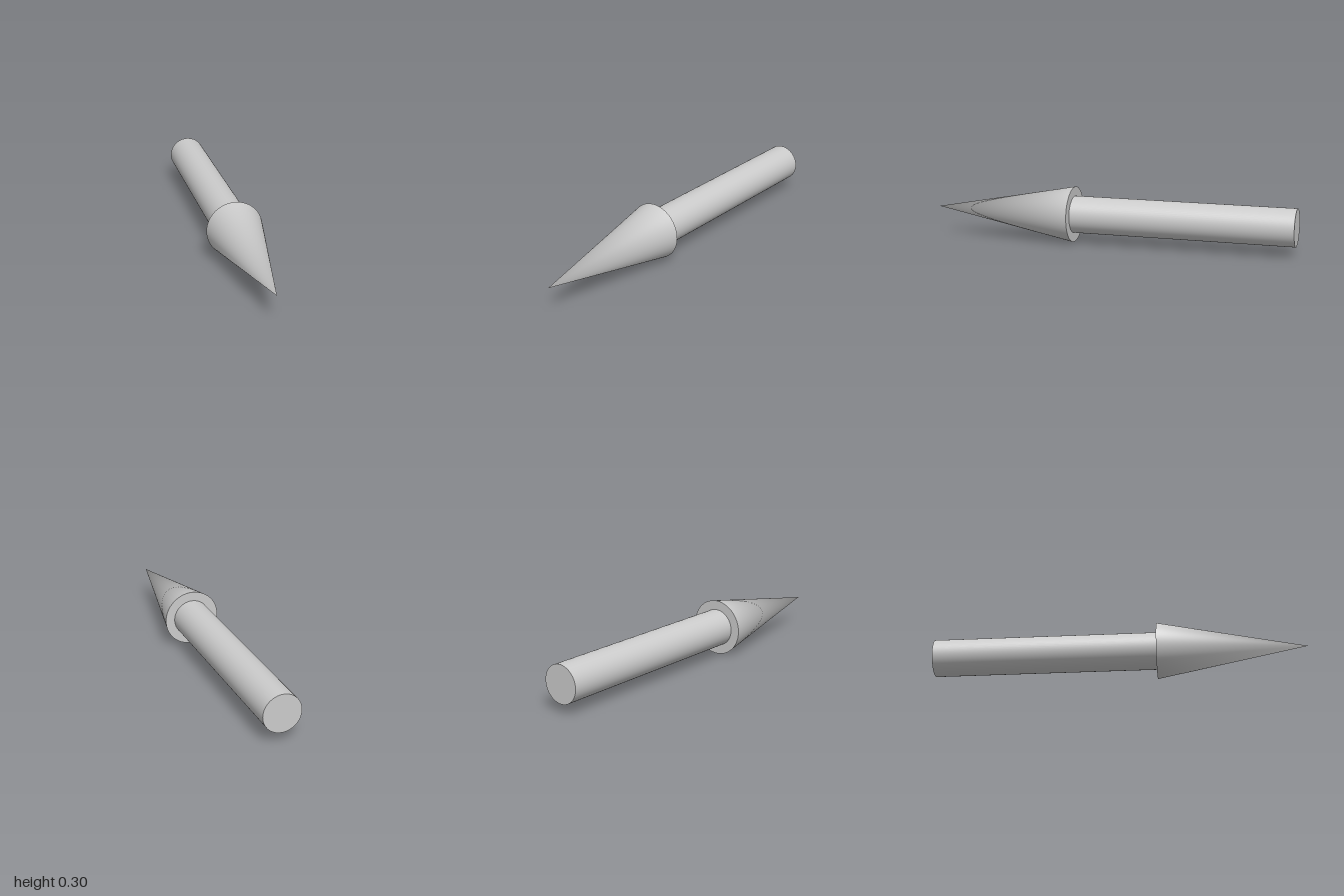
import * as THREE from 'three';

const SIDES = 64;
const AXIS_Y = 0.15; // height of the arrow's axis
const material = new THREE.MeshStandardMaterial({ color: 0xcccccc });

// Lays an upright geometry along +z, spanning zBack to zFront
function addAlongZ(group, name, geometry, zBack, zFront) {
  geometry.rotateX(Math.PI / 2);
  const mesh = new THREE.Mesh(geometry, material);
  mesh.name = name;
  mesh.position.set(0, AXIS_Y, (zBack + zFront) / 2);
  group.add(mesh);
}

export function createModel() {
  const group = new THREE.Group();
  group.name = 'arrow';

  // Round shaft with flat ends
  addAlongZ(group, 'shaft', new THREE.CylinderGeometry(0.1, 0.1, 1.2, SIDES), -1, 0.2);

  // Pointed head; the normals at the tip share the axis direction
  const head = new THREE.ConeGeometry(0.15, 0.8, SIDES);
  const { position, normal } = head.attributes;
  for (let i = 0; i < position.count; i++) {
    if (position.getY(i) > 0.399) normal.setXYZ(i, 0, 1, 0);
  }
  addAlongZ(group, 'head', head, 0.2, 1);

  return group;
}
